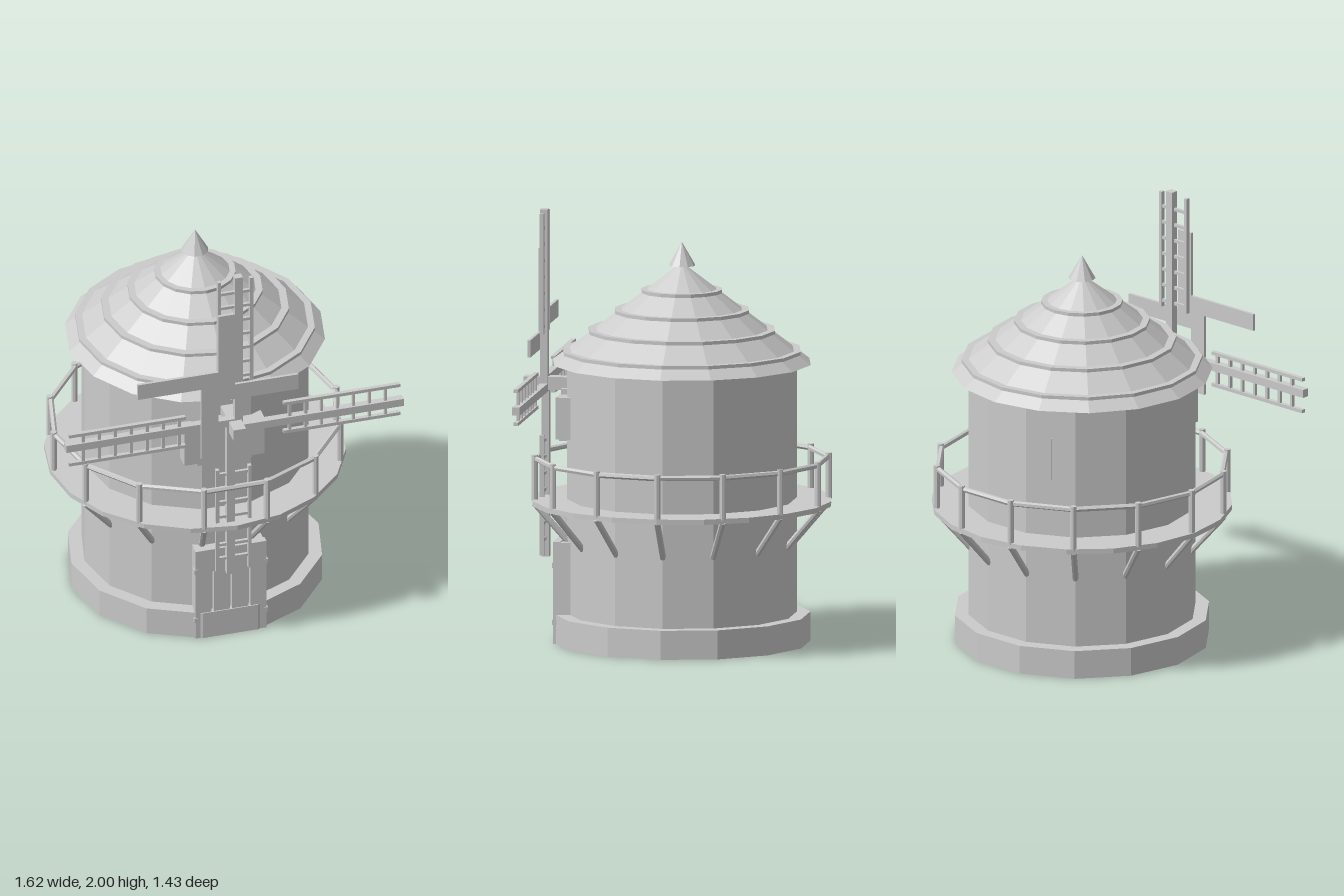
import * as THREE from 'three';

const material = new THREE.MeshStandardMaterial({ color: 0xcccccc, flatShading: true });
const AXIS_Z = -0.02; // depth of the tower's axis
const SIDES = 14;

function add(parent, name, geometry, x = 0, y = 0, z = 0) {
  const mesh = new THREE.Mesh(geometry, material);
  mesh.name = name;
  mesh.position.set(x, y, z);
  parent.add(mesh);
  return mesh;
}

// Box given by its minimum and maximum corners
function box(parent, name, x0, x1, y0, y1, z0, z1) {
  return add(parent, name, new THREE.BoxGeometry(x1 - x0, y1 - y0, z1 - z0),
    (x0 + x1) / 2, (y0 + y1) / 2, (z0 + z1) / 2);
}

// Upright prism standing on y0, with a corner on the x axis
function prism(parent, name, rBottom, rTop, y0, y1, sides) {
  const geometry = new THREE.CylinderGeometry(rTop, rBottom, y1 - y0, sides);
  geometry.rotateY(Math.PI / 2);
  return add(parent, name, geometry, 0, (y0 + y1) / 2, 0);
}

// Round bar between two points
function bar(parent, name, a, b, radius, sides = 8) {
  const mesh = add(parent, name, new THREE.CylinderGeometry(radius, radius, a.distanceTo(b), sides));
  mesh.position.copy(a).lerp(b, 0.5);
  mesh.quaternion.setFromUnitVectors(new THREE.Vector3(0, 1, 0), b.clone().sub(a).normalize());
  return mesh;
}

function polar(r, i, y) {
  const a = (i / SIDES) * Math.PI * 2;
  return new THREE.Vector3(r * Math.cos(a), y, r * Math.sin(a));
}

function buildTower() {
  const tower = new THREE.Group();
  tower.name = 'tower';
  prism(tower, 'base', 0.593, 0.593, 0, 0.135, SIDES);
  prism(tower, 'wall', 0.53, 0.53, 0.13, 1.31, SIDES);

  // Stepped conical roof with finial
  prism(tower, 'roof', 0.602, 0, 1.3, 1.765, 16);
  for (const [r, y] of [[0.555, 1.345], [0.435, 1.44], [0.313, 1.532], [0.188, 1.625]]) {
    prism(tower, 'roofRing', r, r, y, y + 0.016, 16);
  }
  prism(tower, 'finial', 0.063, 0, 1.75, 1.86, 10);

  // Narrow window strip on the back wall
  const strip = new THREE.Group();
  strip.name = 'backWindow';
  strip.rotation.y = Math.PI + (Math.PI * 2) / SIDES;
  box(strip, 'windowStrip', -0.006, 0.006, 0.94, 1.14, 0.5, 0.521);
  tower.add(strip);
  return tower;
}

function buildGallery() {
  const gallery = new THREE.Group();
  gallery.name = 'gallery';
  prism(gallery, 'deck', 0.695, 0.695, 0.643, 0.667, 20);
  for (let i = 0; i < SIDES; i++) {
    bar(gallery, 'post', polar(0.678, i, 0.66), polar(0.678, i, 0.873), 0.015);
    bar(gallery, 'brace', polar(0.68, i, 0.65), polar(0.495, i, 0.435), 0.015);
    bar(gallery, 'rail', polar(0.672, i, 0.855), polar(0.672, i + 1, 0.855), 0.013, 6);
  }
  return gallery;
}

function buildDoor() {
  const door = new THREE.Group();
  door.name = 'door';
  // Panel with three slits
  const shape = new THREE.Shape();
  shape.moveTo(-0.165, 0).lineTo(0.175, 0).lineTo(0.175, 0.475).lineTo(-0.165, 0.475).closePath();
  for (const x of [-0.083, 0.005, 0.093]) {
    const slit = new THREE.Path();
    slit.moveTo(x - 0.005, 0.135).lineTo(x - 0.005, 0.355).lineTo(x + 0.005, 0.355).lineTo(x + 0.005, 0.135).closePath();
    shape.holes.push(slit);
  }
  add(door, 'doorPanel', new THREE.ExtrudeGeometry(shape, { depth: 0.035, bevelEnabled: false }), 0, 0, 0.518);
  box(door, 'doorBacking', -0.16, 0.17, 0, 0.47, 0.47, 0.53);
  for (const y of [0.1, 0.365]) {
    box(door, 'hinge', -0.172, -0.155, y - 0.012, y + 0.012, 0.53, 0.556);
    box(door, 'hinge', 0.165, 0.182, y - 0.012, y + 0.012, 0.53, 0.556);
  }
  return door;
}

function buildWindow() {
  const frame = new THREE.Group();
  frame.name = 'frontWindow';
  box(frame, 'windowPanel', -0.215, 0.17, 0.95, 1.145, 0.47, 0.54);
  box(frame, 'windowSill', -0.15, 0.11, 0.935, 0.96, 0.48, 0.535);
  box(frame, 'windowLintel', -0.09, 0.06, 1.14, 1.17, 0.48, 0.535);
  return frame;
}

function buildSails() {
  const sails = new THREE.Group();
  sails.name = 'sails';
  sails.position.set(0, 1.19, 0);
  box(sails, 'hub', -0.03, 0.03, -0.03, 0.03, 0.48, 0.715);
  for (let k = 0; k < 4; k++) {
    const sail = new THREE.Group();
    sail.name = 'sail';
    sail.rotation.z = (k * Math.PI) / 2;
    box(sail, 'spar', 0, 0.038, 0, 0.81, 0.6, 0.636);
    for (const x of [-0.081, 0.073]) box(sail, 'latticeRail', x, x + 0.016, 0.235, 0.795, 0.61, 0.63);
    for (let i = 0; i < 7; i++) {
      const y = 0.265 + i * 0.0767;
      box(sail, 'rung', -0.07, 0.08, y - 0.007, y + 0.007, 0.613, 0.627);
    }
    sails.add(sail);
  }
  return sails;
}

// Offset four-armed board cross in front of the sails
function buildCross() {
  const cross = new THREE.Group();
  cross.name = 'boardCross';
  cross.position.set(-0.085, 1.428, 0);
  for (let k = 0; k < 4; k++) {
    const arm = new THREE.Group();
    arm.name = 'crossArm';
    arm.rotation.z = (k * Math.PI) / 2;
    box(arm, 'board', 0, 0.08, 0, 0.385, 0.636, 0.65);
    cross.add(arm);
  }
  return cross;
}

export function createModel() {
  const model = new THREE.Group();
  model.name = 'windmill';
  const round = [buildTower(), buildGallery()];
  for (const part of round) part.position.z = AXIS_Z;
  model.add(...round, buildDoor(), buildWindow(), buildSails(), buildCross());
  return model;
}
